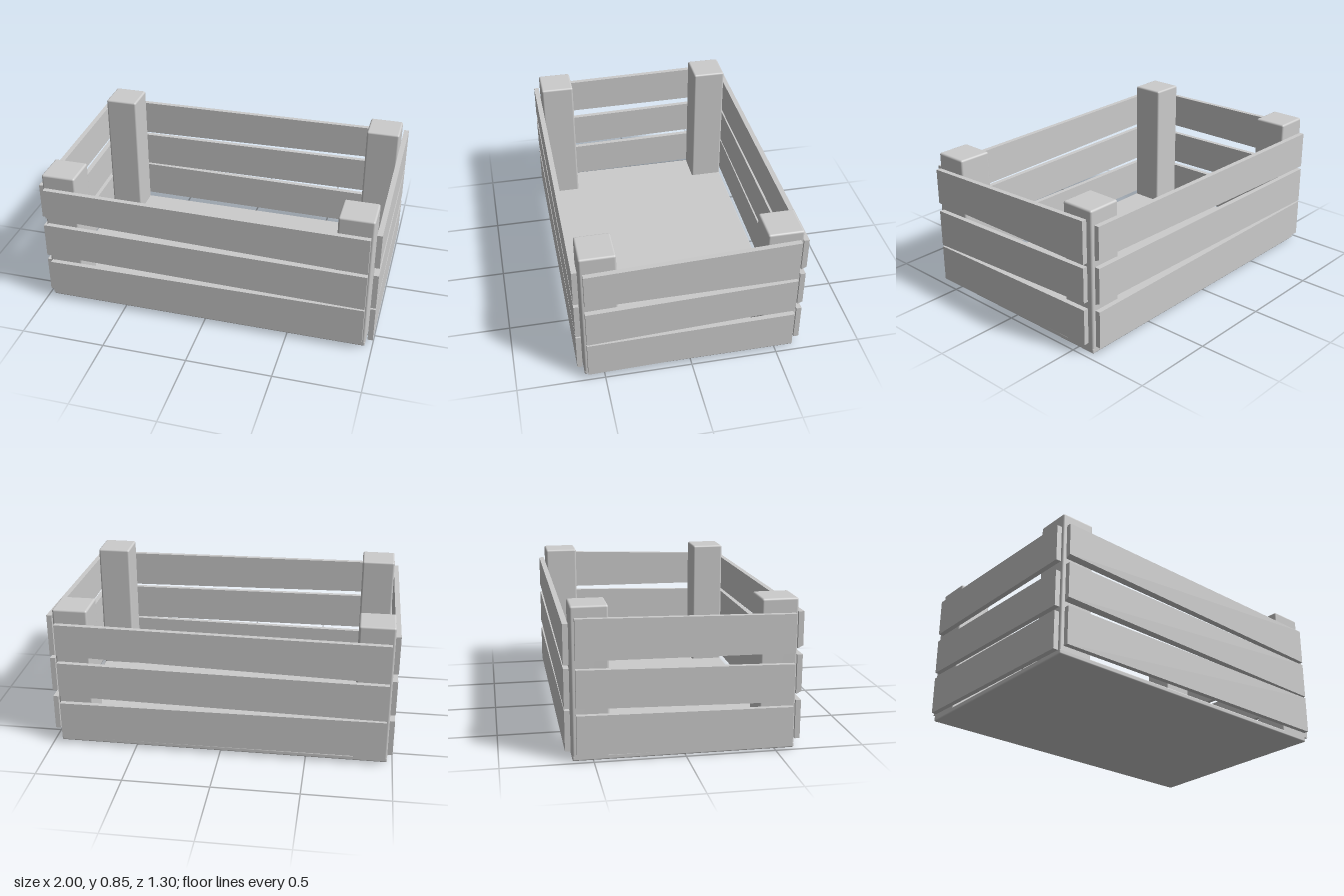
import * as THREE from 'three';
import { RoundedBoxGeometry } from 'three/addons/geometries/RoundedBoxGeometry.js';

const material = new THREE.MeshStandardMaterial({ color: 0xcccccc });

// Softly rounded solid given by its minimum and maximum corners
function block(name, min, max, radius) {
  const size = max.map((v, i) => v - min[i]);
  const mesh = new THREE.Mesh(new RoundedBoxGeometry(...size, 3, radius), material);
  mesh.position.set(...max.map((v, i) => (v + min[i]) / 2));
  mesh.name = name;
  return mesh;
}

// Uneven plank running from x0 to x1, facing +z.
// a = [bottom, top] at x0, b = [bottom, top] at x1,
// skew lowers the inner bottom edge at the x0 end.
function slat(name, x0, x1, a, b, skew = 0) {
  const geometry = new THREE.BoxGeometry(1, 1, 0.03);
  const p = geometry.attributes.position;
  for (let i = 0; i < p.count; i++) {
    const atStart = p.getX(i) < 0;
    const atTop = p.getY(i) > 0;
    const inner = p.getZ(i) < 0;
    let y = (atStart ? a : b)[atTop ? 1 : 0];
    if (atStart && !atTop && inner) y -= skew;
    p.setXY(i, atStart ? x0 : x1, y);
  }
  geometry.computeVertexNormals();
  const mesh = new THREE.Mesh(geometry, material);
  mesh.name = name;
  return mesh;
}

// One wall of slats, built facing +z and pushed outward, then turned
function wall(name, x0, x1, distance, angle, rows) {
  const group = new THREE.Group();
  group.name = name;
  rows.forEach(([a, b, skew], i) => {
    const plank = slat(`${name}Slat${i + 1}`, x0, x1, a, b, skew);
    plank.position.z = distance;
    group.add(plank);
  });
  group.rotation.y = angle;
  return group;
}

export function createModel() {
  const model = new THREE.Group();
  model.name = 'crate';

  // Floor board
  model.add(block('floor', [-0.97, 0, -0.612], [0.958, 0.03, 0.612], 0.008));

  // Corner posts
  for (const [side, x] of [['Right', -0.97], ['Left', 0.756]]) {
    for (const [end, z] of [['front', 0.41], ['back', -0.612]]) {
      model.add(block(`${end}${side}Post`, [x, 0.004, z], [x + 0.202, 0.847, z + 0.202], 0.012));
    }
  }

  // Long walls: the back repeats the front, turned half round
  const longRows = [
    [[0.045, 0.267], [0.053, 0.28], 0],
    [[0.318, 0.527], [0.29, 0.51], 0.015],
    [[0.577, 0.767], [0.53, 0.752], 0.015],
  ];
  model.add(wall('frontWall', -0.953, 0.943, 0.635, 0, longRows));
  model.add(wall('backWall', -0.943, 0.953, 0.635, Math.PI, longRows));

  // Short walls, each with its own slant
  model.add(wall('leftWall', -0.595, 0.59, 0.985, Math.PI / 2, [
    [[0.04, 0.26], [0.068, 0.28]],
    [[0.27, 0.493], [0.322, 0.53]],
    [[0.545, 0.757], [0.55, 0.8]],
  ]));
  model.add(wall('rightWall', -0.59, 0.595, 0.985, -Math.PI / 2, [
    [[0.04, 0.262], [0.025, 0.245]],
    [[0.3, 0.512], [0.275, 0.487]],
    [[0.56, 0.785], [0.55, 0.765]],
  ]));

  return model;
}
